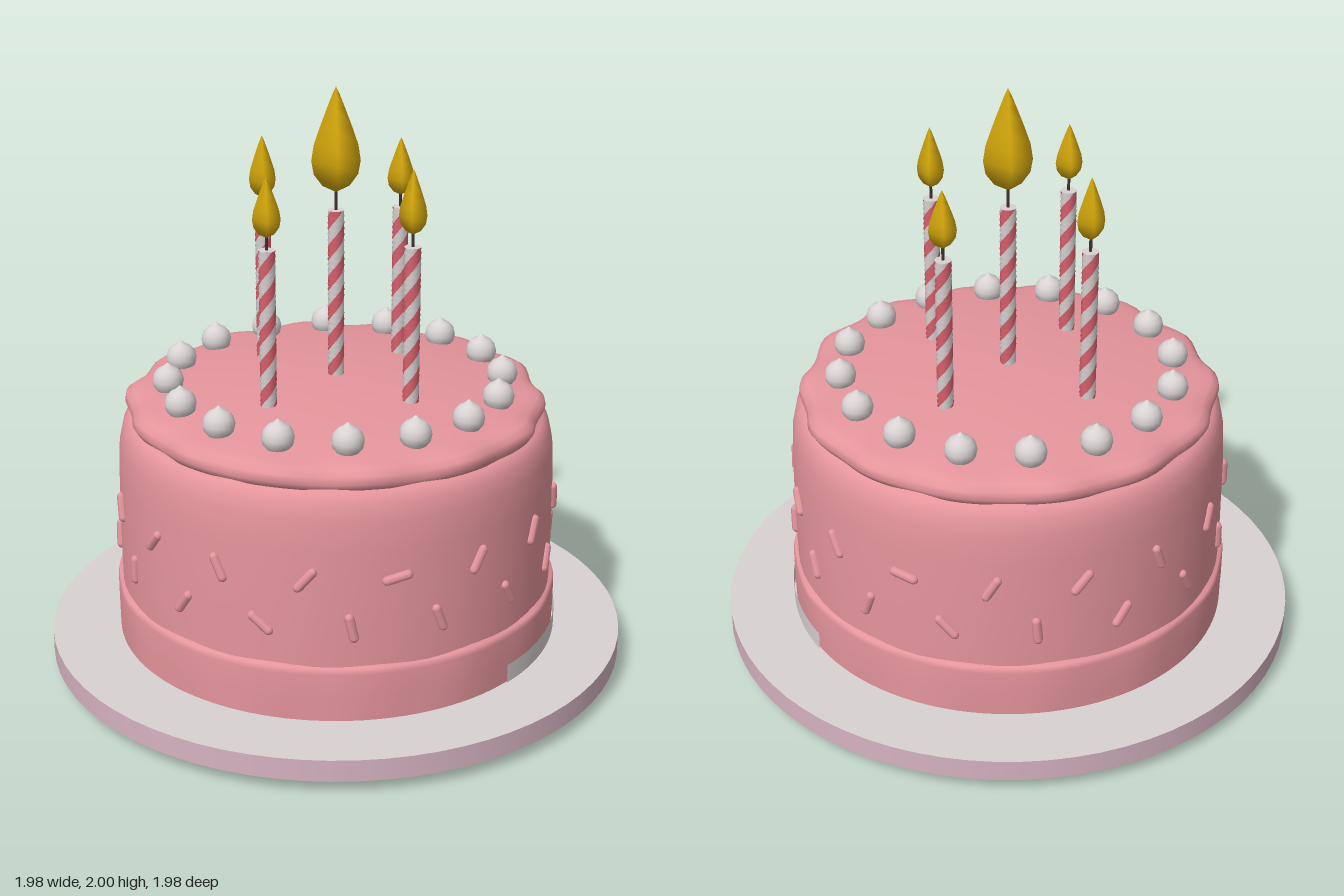
import * as THREE from 'three';
import { mergeVertices } from 'three/addons/utils/BufferGeometryUtils.js';

const mat = (name, color, side = THREE.FrontSide) => {
  const m = new THREE.MeshStandardMaterial({ color, side });
  m.name = name;
  return m;
};

export function createModel() {
  const pink = mat('pink icing', 0xe5959c);
  const cream = mat('cream white', 0xd9d2d2);
  const lilac = mat('lilac plate edge', 0xd6b3c1);
  const red = mat('candle stripe', 0xd9626e);
  const gold = mat('flame gold', 0xd6a90c);
  const dark = mat('wick', 0x40332f);

  const cake = new THREE.Group();
  cake.name = 'birthdayCake';
  const add = (parent, name, geo, material, x = 0, y = 0, z = 0) => {
    const m = new THREE.Mesh(geo, material);
    m.name = name;
    m.position.set(x, y, z);
    parent.add(m);
    return m;
  };
  const lathe = (pts, seg, start = 0) =>
    new THREE.LatheGeometry(pts.map(p => new THREE.Vector2(p[0], p[1])), seg, start);

  // Lathe whose radius and height ripple around the axis; amp is the third profile value
  const wavyLathe = (pts, lobes) => {
    const n = pts.length, geo = lathe(pts, 112), p = geo.attributes.position;
    for (let i = 0; i < p.count; i++) {
      const a = Math.atan2(p.getX(i), p.getZ(i)), amp = pts[i % n][2];
      const w = amp * (Math.cos(lobes * a) + 0.4 * Math.sin(5 * a));
      const r = Math.hypot(p.getX(i), p.getZ(i));
      const s = r > 0 ? (r + w) / r : 1;
      p.setXYZ(i, p.getX(i) * s, p.getY(i) + w * 0.5, p.getZ(i) * s);
    }
    geo.deleteAttribute('uv');
    geo.deleteAttribute('normal');
    const merged = mergeVertices(geo, 1e-4);
    merged.computeVertexNormals();
    return merged;
  };

  // Plate and foot
  add(cake, 'plate', new THREE.CylinderGeometry(0.99, 0.99, 0.075, 72), [lilac, cream, lilac], 0, 0.0825, 0);
  add(cake, 'plateFoot', new THREE.CylinderGeometry(0.78, 0.78, 0.05, 64), lilac, 0, 0.025, 0);

  // Cake body, base band and top icing with a rippled lip
  add(cake, 'cakeBody', lathe([[0.74, 0.28], [0.742, 0.45], [0.74, 0.7], [0.735, 0.8], [0.722, 0.86],
    [0.7, 0.89], [0.66, 0.905]], 72), pink);
  add(cake, 'baseBand', wavyLathe([[0.755, 0.12, 0], [0.757, 0.2, 0.002], [0.757, 0.285, 0.003],
    [0.752, 0.305, 0.004], [0.72, 0.312, 0.004]], 14), pink);
  add(cake, 'topIcing', wavyLathe([[0.66, 0.89, 0], [0.69, 0.893, 0.008], [0.702, 0.915, 0.011],
    [0.697, 0.94, 0.011], [0.675, 0.957, 0.009], [0.64, 0.965, 0.004], [0.58, 0.975, 0],
    [0.45, 0.992, 0], [0.25, 1.01, 0], [0, 1.018, 0]], 14), pink);

  // Pale smear along the foot of the cake
  add(cake, 'creamSmear', new THREE.CylinderGeometry(0.763, 0.763, 0.065, 24, 1, true, 1.55, 1.25),
    mat('cream smear', 0xd9d2d2, THREE.DoubleSide), 0, 0.155, 0);

  // Two staggered rows of sprinkles on the side
  const sprinkle = new THREE.CapsuleGeometry(0.016, 0.07, 3, 8);
  const tilts = [[25, -40, -78, -30, -25, 10, 35, 30, 80, -30, -40, 20, -25, 0, 20, -40],
    [-35, 50, 12, 20, 30, -30, 10, 25, -20, 45, 5, -35, 30, 0, 15, 0]];
  const sprinkles = new THREE.Group();
  sprinkles.name = 'sprinkles';
  cake.add(sprinkles);
  tilts.forEach((row, j) => row.forEach((tilt, i) => {
    const a = (i + (j ? 0 : 0.5)) * Math.PI / 8;
    const m = add(sprinkles, 'sprinkle', sprinkle, pink,
      0.742 * Math.sin(a), j ? 0.445 : 0.61, 0.742 * Math.cos(a));
    m.rotation.set(0, a, THREE.MathUtils.degToRad(tilt), 'YXZ');
  }));

  // Ring of cream dollops, each with a small peak
  const dollop = lathe([[0, -0.052], [0.03, -0.043], [0.048, -0.02], [0.053, 0.003], [0.047, 0.027],
    [0.033, 0.043], [0.015, 0.053], [0.008, 0.06], [0, 0.066]], 18);
  const dollops = new THREE.Group();
  dollops.name = 'creamDollops';
  cake.add(dollops);
  for (let i = 0; i < 16; i++) {
    const a = i * Math.PI / 8;
    add(dollops, 'creamDollop', dollop, cream, 0.565 * Math.sin(a), 1.005, 0.565 * Math.cos(a));
  }

  // Twisted candle with two spiral stripes, coloured by column
  const stripedCandle = (r, h) => {
    const seg = 12, rows = 30;
    const geo = new THREE.CylinderGeometry(r, r, h, seg, rows, true);
    const p = geo.attributes.position, nrm = geo.attributes.normal;
    const v = new THREE.Vector3(), up = new THREE.Vector3(0, 1, 0);
    for (let i = 0; i < p.count; i++) {
      const turn = (p.getY(i) + h / 2) / 0.21 * Math.PI * 2;
      for (const at of [p, nrm]) {
        v.fromBufferAttribute(at, i).applyAxisAngle(up, turn);
        at.setXYZ(i, v.x, v.y, v.z);
      }
    }
    geo.clearGroups();
    for (let c = 0; c < seg; c++) geo.addGroup(c * rows * 6, rows * 6, c % 6 < 3 ? 0 : 1);
    return geo;
  };

  // Four-sided flame profile: half width and height as fractions
  const flameProfile = [[0, 0], [0.55, 0.06], [0.9, 0.17], [1, 0.3], [0.9, 0.45], [0.65, 0.62],
    [0.36, 0.8], [0.14, 0.93], [0, 1]];
  const addCandle = (x, z, top, flameY, flameTop, half, yaw = 0) => {
    const g = new THREE.Group();
    g.name = 'candle';
    g.position.set(x, 0, z);
    cake.add(g);
    const base = 0.96, r = 0.028;
    add(g, 'candleStick', stripedCandle(r, top - base), [red, cream], 0, (top + base) / 2, 0);
    add(g, 'candleTop', new THREE.CircleGeometry(r, 12).rotateX(-Math.PI / 2), cream, 0, top, 0);
    add(g, 'wick', new THREE.CylinderGeometry(0.005, 0.005, flameY - top + 0.04, 6), dark,
      0, (top + flameY) / 2 + 0.01, 0);
    const geo = lathe(flameProfile.map(([w, t]) => [w * half * Math.SQRT2, t * (flameTop - flameY)]), 4, Math.PI / 4);
    add(g, 'flame', geo, gold, 0, flameY, 0).rotation.y = yaw;
  };
  addCandle(0, 0, 1.59, 1.65, 2, 0.057);
  addCandle(-0.33, 0, 1.53, 1.57, 1.785, 0.032, 0.06);
  addCandle(0.325, 0, 1.53, 1.57, 1.785, 0.032, -0.22);
  addCandle(0, 0.333, 1.53, 1.57, 1.77, 0.032);
  addCandle(0, -0.333, 1.53, 1.57, 1.77, 0.032);

  return cake;
}
